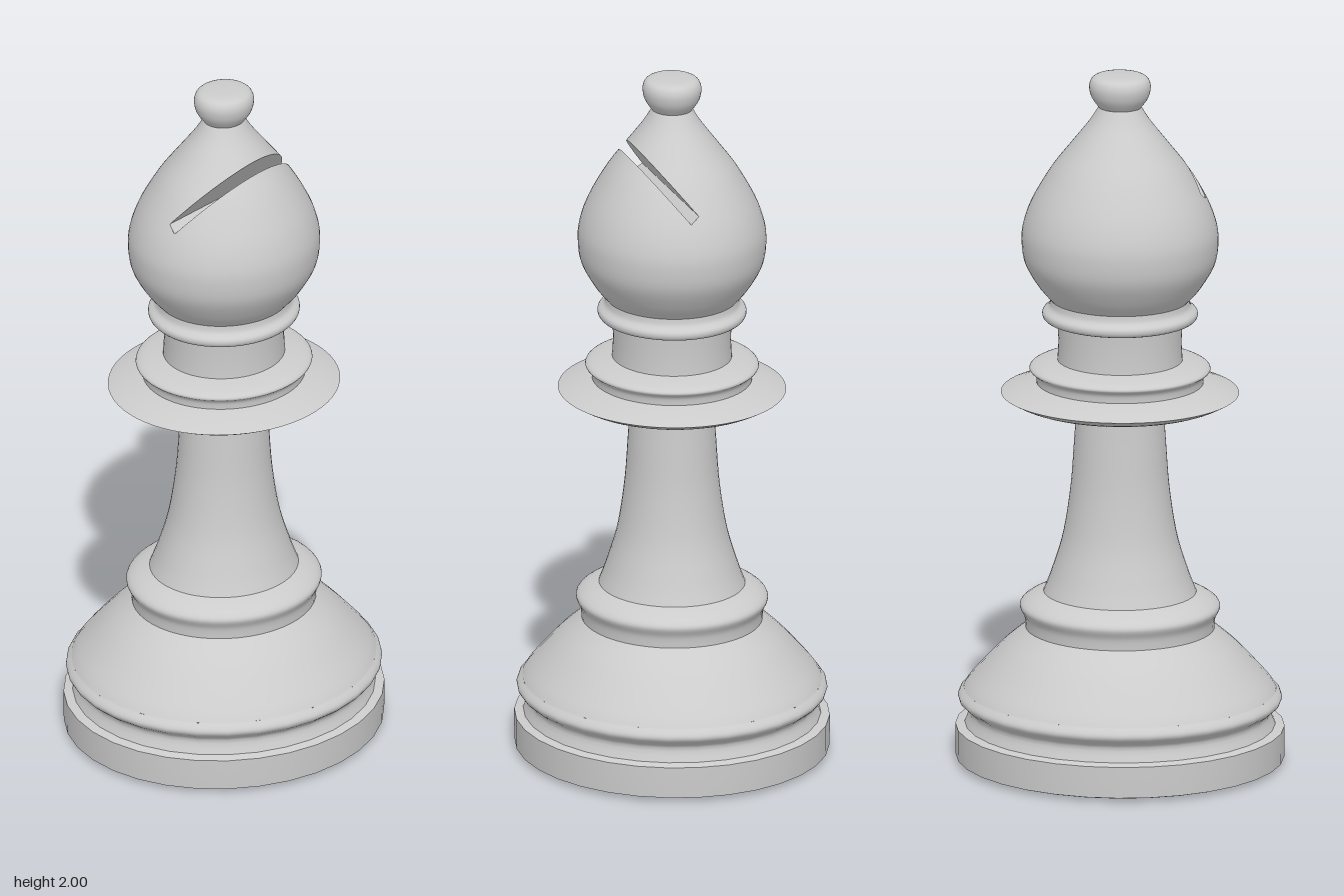
import * as THREE from 'three';

const DEPTH = 0.95; // every turned part is slightly narrower in z
const material = new THREE.MeshStandardMaterial({ color: 0xcccccc });
const wallMaterial = new THREE.MeshStandardMaterial({ color: 0xcccccc, side: THREE.DoubleSide });

const toPoints = (pairs) => pairs.map(([r, y]) => new THREE.Vector2(r, y));
const smooth = (pairs, n) => new THREE.SplineCurve(toPoints(pairs)).getPoints(n);

function turned(points, segments) {
  return new THREE.LatheGeometry(points, segments).scale(1, 1, DEPTH);
}

function addMesh(group, name, geometry, mat = material) {
  const mesh = new THREE.Mesh(geometry, mat);
  mesh.name = name;
  group.add(mesh);
}

// Slanted slot: floor centre, depth direction and slab normal
const HALF = 0.016;
const slotFloor = new THREE.Vector3(0, 1.652, 0.017);
const slotDir = new THREE.Vector3(0, 0.795, 0.607).normalize();
const slotNormal = new THREE.Vector3(0, slotDir.z, -slotDir.y);
const depthOf = (p) => p.clone().sub(slotFloor).dot(slotDir);
const sideOf = (p) => p.clone().sub(slotFloor).dot(slotNormal);

// Keep the part of a polygon where dist(point) >= 0
function clip(poly, dist) {
  const out = [];
  poly.forEach((a, i) => {
    const b = poly[(i + 1) % poly.length];
    const da = dist(a.p), db = dist(b.p);
    if (da >= 0) out.push(a);
    if ((da >= 0) !== (db >= 0)) {
      const t = da / (da - db);
      out.push({ p: a.p.clone().lerp(b.p, t), n: a.n.clone().lerp(b.n, t).normalize() });
    }
  });
  return out;
}

// Skin of the head with the slot opening removed
function cutSkin(geometry) {
  const g = geometry.toNonIndexed();
  const { position, normal } = g.attributes;
  const pos = [], nor = [];
  const above = (p) => sideOf(p) - HALF;
  const below = (p) => -HALF - sideOf(p);
  const under = (p) => -depthOf(p);
  for (let i = 0; i < position.count; i += 3) {
    const tri = [0, 1, 2].map((k) => ({
      p: new THREE.Vector3().fromBufferAttribute(position, i + k),
      n: new THREE.Vector3().fromBufferAttribute(normal, i + k),
    }));
    const middle = clip(clip(tri, (p) => -above(p)), (p) => -below(p));
    for (const poly of [clip(tri, above), clip(tri, below), clip(middle, under)]) {
      for (let k = 1; k < poly.length - 1; k++) {
        for (const v of [poly[0], poly[k], poly[k + 1]]) {
          pos.push(...v.p.toArray());
          nor.push(...v.n.toArray());
        }
      }
    }
  }
  const out = new THREE.BufferGeometry();
  out.setAttribute('position', new THREE.Float32BufferAttribute(pos, 3));
  out.setAttribute('normal', new THREE.Float32BufferAttribute(nor, 3));
  return out;
}

// Two flat walls and the floor inside the slot
function slotWalls(profile) {
  const radiusAt = (y) => {
    const i = profile.findIndex((q) => q.y > y);
    if (i < 1) return 0;
    const a = profile[i - 1], b = profile[i];
    return a.x + ((b.x - a.x) * (y - a.y)) / (b.y - a.y);
  };
  const at = (u, v) => slotFloor.clone().addScaledVector(slotDir, u).addScaledVector(slotNormal, v);
  const widthSq = (p) => radiusAt(p.y) ** 2 - (p.z / DEPTH) ** 2;
  const pair = (u, v) => {
    const p = at(u, v), x = Math.sqrt(Math.max(0, widthSq(p)));
    return [new THREE.Vector3(-x, p.y, p.z), new THREE.Vector3(x, p.y, p.z)];
  };
  const pos = [];
  const quad = ([a, b], [c, d]) => [a, b, d, a, d, c].forEach((p) => pos.push(p.x, p.y, p.z));
  for (const v of [-HALF, HALF]) {
    let lo = 0, hi = 0.35;
    for (let i = 0; i < 30; i++) {
      const mid = (lo + hi) / 2;
      if (widthSq(at(mid, v)) > 0) lo = mid; else hi = mid;
    }
    const N = 24, depth = (i) => lo * (1 - (1 - i / N) ** 2);
    for (let i = 0; i < N; i++) quad(pair(depth(i), v), pair(depth(i + 1), v));
  }
  quad(pair(0, -HALF), pair(0, HALF));
  const g = new THREE.BufferGeometry();
  g.setAttribute('position', new THREE.Float32BufferAttribute(pos, 3));
  g.computeVertexNormals();
  return g;
}

export function createModel() {
  const group = new THREE.Group();
  group.name = 'bishopPiece';

  // Plain turned parts: name, sides, profile from bottom to top
  const parts = [
    ['underside', 32, toPoints([[0, 0], [0.28, 0], [0.45, 0.008], [0.462, 0.012]])],
    ['baseDisc', 32, toPoints([[0.462, 0.012], [0.463, 0.05], [0.463, 0.102]])],
    ['baseStep', 32, toPoints([[0.463, 0.102], [0.437, 0.108]])],
    ['baseGroove', 32, smooth([[0.437, 0.108], [0.425, 0.148], [0.452, 0.175], [0.455, 0.192], [0.44, 0.21]], 16)],
    ['baseCone', 48, smooth([[0.44, 0.21], [0.415, 0.243], [0.336, 0.328], [0.266, 0.388]], 14)],
    ['baseRing', 48, smooth([[0.266, 0.388], [0.269, 0.42], [0.282, 0.452], [0.257, 0.475], [0.215, 0.492]], 18)],
    ['stem', 48, smooth([[0.215, 0.492], [0.193, 0.55], [0.161, 0.656], [0.14, 0.79], [0.13, 0.92], [0.124, 1.015]], 24)],
    ['flangeUnderside', 64, smooth([[0.124, 1.015], [0.177, 1.021], [0.283, 1.047], [0.335, 1.072]], 12)],
    ['flangeTop', 64, toPoints([[0.335, 1.072], [0.29, 1.09], [0.235, 1.102]])],
    ['collar', 64, smooth([[0.235, 1.102], [0.238, 1.125], [0.255, 1.142], [0.235, 1.156], [0.176, 1.168]], 16)],
    ['neck', 64, toPoints([[0.176, 1.168], [0.173, 1.22], [0.176, 1.28]])],
    ['neckRing', 64, smooth([[0.176, 1.28], [0.212, 1.288], [0.218, 1.308], [0.2, 1.325], [0.195, 1.345]], 16)],
    ['knob', 48, smooth([[0.06, 1.905], [0.081, 1.936], [0.086, 1.972], [0.066, 1.995], [0, 2]], 20)],
  ];
  for (const [name, sides, points] of parts) addMesh(group, name, turned(points, sides));

  // Onion-shaped head with the slanted slot
  const head = smooth([[0.195, 1.345], [0.23, 1.386], [0.267, 1.45], [0.277, 1.513], [0.271, 1.568],
    [0.245, 1.637], [0.193, 1.725], [0.14, 1.794], [0.087, 1.862], [0.06, 1.905]], 40);
  addMesh(group, 'head', cutSkin(turned(head, 64)));
  addMesh(group, 'headSlot', slotWalls(head), wallMaterial);
  return group;
}
